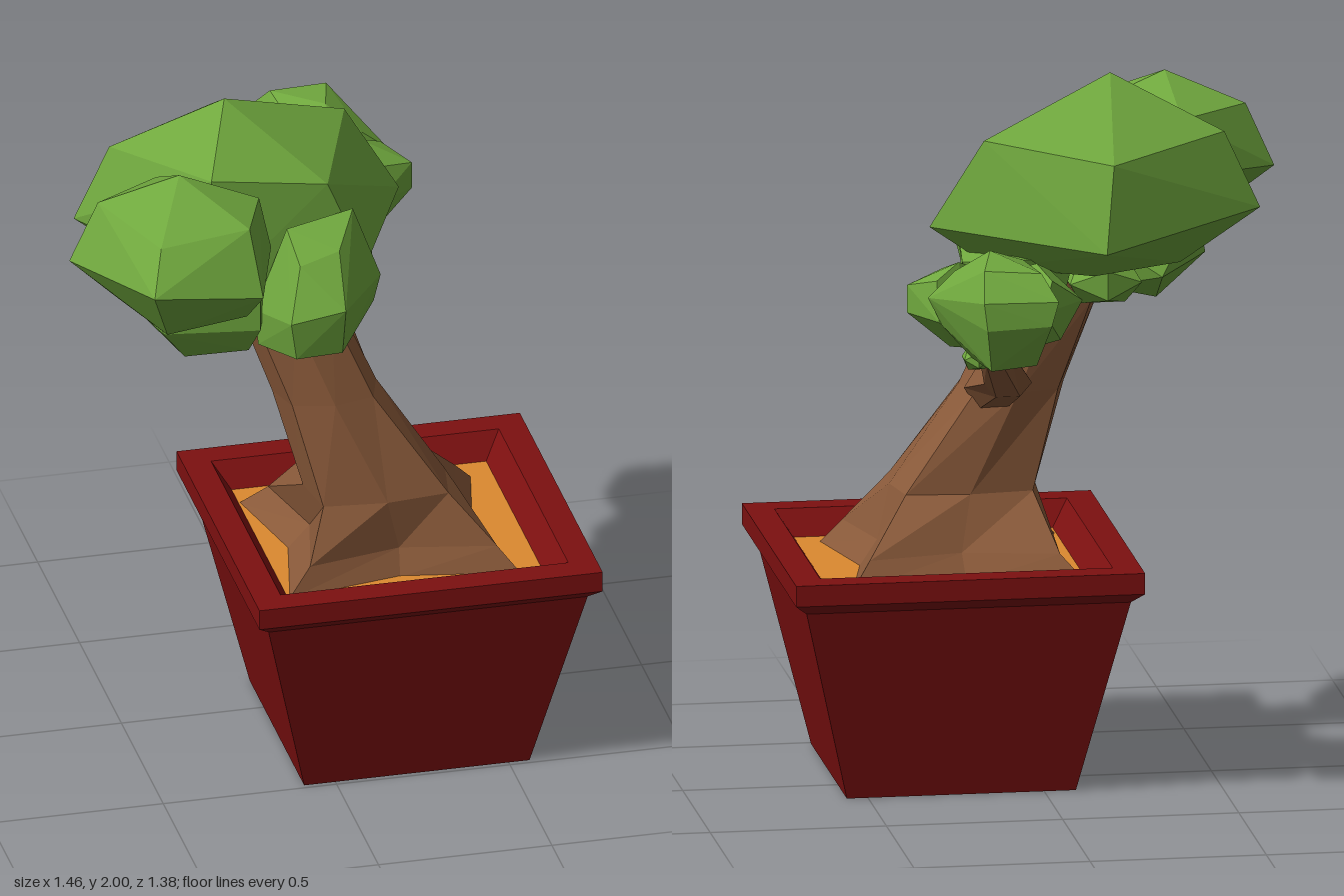
import * as THREE from 'three';
import { ConvexGeometry } from 'three/addons/geometries/ConvexGeometry.js';

const mat = (color, side = THREE.FrontSide) => new THREE.MeshStandardMaterial({ color, flatShading: true, side });
const V = (x, y, z) => new THREE.Vector3(x, y, z);

// Skin a list of equal-length rings; the ends are closed with fans.
function loft(rings) {
  const n = rings[0].length, pos = [], idx = [];
  rings.forEach((r) => r.forEach((p) => pos.push(p.x, p.y, p.z)));
  for (let k = 0; k < rings.length - 1; k++) {
    for (let i = 0; i < n; i++) {
      const a = k * n + i, b = k * n + (i + 1) % n;
      idx.push(a, a + n, b, b, a + n, b + n);
    }
  }
  const last = (rings.length - 1) * n;
  for (let i = 1; i < n - 1; i++) idx.push(0, i, i + 1, last, last + i + 1, last + i);
  const g = new THREE.BufferGeometry();
  g.setAttribute('position', new THREE.Float32BufferAttribute(pos, 3));
  g.setIndex(idx);
  g.computeVertexNormals();
  return g;
}

// Eight-point level ring whose corners and mid-sides have their own reach.
function trunkRing([y, cx, cz, hx, hz, corner, mid]) {
  const ring = [];
  for (let i = 0; i < 8; i++) {
    const a = i * Math.PI / 4, s = i % 2 ? corner : mid;
    ring.push(V(cx + Math.round(Math.cos(a)) * hx * s, y, cz + Math.round(Math.sin(a)) * hz * s));
  }
  return ring;
}

// Six-point upright ring for the branch, which runs towards -z.
function branchRing([x, y, z, rx, ry]) {
  const ring = [];
  for (let i = 0; i < 6; i++) {
    const a = i * Math.PI / 3;
    ring.push(V(x + Math.cos(a) * rx, y + Math.sin(a) * ry, z));
  }
  return ring;
}

export function createModel() {
  const group = new THREE.Group();
  const red = mat(0x7d1010, THREE.DoubleSide), soilMat = mat(0xdc8a30, THREE.DoubleSide);
  const bark = mat(0x8a5a3a), leaf = mat(0x70a83e);
  const add = (name, geometry, material) => {
    const m = new THREE.Mesh(geometry, material);
    m.name = name;
    group.add(m);
    return m;
  };
  const potX = 0.235, potZ = 0.16;

  // Square tapered pot, open below, with a stepped rim and sloping inner lip
  const profile = [[0.325, 0], [0.46, 0.57], [0.495, 0.6], [0.495, 0.66], [0.415, 0.66], [0.365, 0.585]]
    .map(([r, y]) => new THREE.Vector2(r * Math.SQRT2, y));
  add('pot', new THREE.LatheGeometry(profile, 4, Math.PI / 4), red).position.set(potX, 0, potZ);

  // Soil
  const soil = add('soil', new THREE.PlaneGeometry(0.735, 0.735), soilMat);
  soil.rotation.x = -Math.PI / 2;
  soil.position.set(potX, 0.588, potZ);

  // Leaning trunk flaring into four corner roots
  add('trunk', loft([
    [0.585, 0.205, 0.17, 0.335, 0.30, 1, 0.8],
    [0.66, 0.21, 0.18, 0.27, 0.25, 1, 0.78],
    [0.81, 0.175, 0.22, 0.205, 0.165, 0.88, 1],
    [1.1, 0.04, 0.185, 0.15, 0.135, 0.78, 1],
    [1.35, -0.06, 0.155, 0.14, 0.105, 0.78, 1],
    [1.55, -0.13, 0.15, 0.12, 0.09, 0.75, 1],
  ].map(trunkRing)), bark);

  // Side branch reaching backwards, thick where it leaves the trunk
  add('branch', loft([
    [0.105, 1.105, 0.11, 0.08, 0.075],
    [0.105, 1.185, -0.18, 0.068, 0.045],
    [0.17, 1.32, -0.35, 0.045, 0.045],
    [0.19, 1.44, -0.45, 0.03, 0.03],
  ].map(branchRing)), bark);

  // Large faceted leaf clumps
  const clumps = {
    crownLeaves: [
      [-0.23, 2, 0.11],
      [-0.19, 1.81, -0.22], [0.15, 1.85, -0.03], [0.02, 1.8, 0.31], [-0.32, 1.86, 0.33], [-0.54, 1.84, 0.02],
      [-0.16, 1.57, -0.285], [0.3, 1.6, 0], [0.13, 1.54, 0.32], [-0.3, 1.54, 0.37], [-0.64, 1.62, 0.01],
      [-0.15, 1.47, -0.12], [0.12, 1.47, 0.03], [0.02, 1.43, 0.25], [-0.3, 1.43, 0.25], [-0.42, 1.46, 0.05],
    ],
    leftLeaves: [
      [-0.43, 1.93, 0.4],
      [-0.65, 1.84, 0.34], [-0.45, 1.83, 0.21], [-0.2, 1.83, 0.4], [-0.27, 1.83, 0.58], [-0.53, 1.81, 0.6],
      [-0.73, 1.66, 0.33], [-0.45, 1.67, 0.19], [-0.16, 1.66, 0.38], [-0.25, 1.65, 0.66], [-0.57, 1.7, 0.69],
      [-0.6, 1.55, 0.38], [-0.24, 1.55, 0.38], [-0.27, 1.54, 0.55], [-0.5, 1.51, 0.55],
    ],
    frontLeaves: [
      [-0.11, 1.7, 0.36], [0.09, 1.72, 0.32], [0.02, 1.66, 0.45], [-0.1, 1.64, 0.48],
      [0.18, 1.48, 0.28], [0.01, 1.53, 0.57], [-0.14, 1.49, 0.54], [-0.2, 1.45, 0.35],
      [0.16, 1.4, 0.28], [0.01, 1.38, 0.53], [-0.12, 1.37, 0.52], [-0.19, 1.34, 0.35],
      [-0.03, 1.31, 0.35], [0.1, 1.36, 0.16], [-0.12, 1.38, 0.15], [0.14, 1.52, 0.13],
    ],
    lowerLeftLeaves: [
      [-0.49, 1.58, 0.2], [-0.5, 1.52, 0.36], [-0.2, 1.55, 0.42], [-0.15, 1.55, 0.2],
      [-0.52, 1.44, 0.24], [-0.47, 1.42, 0.38], [-0.2, 1.42, 0.42], [-0.14, 1.45, 0.25],
      [-0.39, 1.3, 0.3], [-0.22, 1.33, 0.36], [-0.22, 1.36, 0.2], [-0.38, 1.4, 0.12],
    ],
    backLeaves: [
      [0.2, 1.64, -0.46], [0.1, 1.6, -0.42], [0.08, 1.61, -0.63], [0.24, 1.62, -0.62], [0.29, 1.57, -0.4],
      [0.04, 1.54, -0.69], [0.25, 1.54, -0.68], [0.37, 1.5, -0.42], [0.21, 1.57, -0.32], [0.04, 1.5, -0.45],
      [0.06, 1.47, -0.69], [0.24, 1.46, -0.68], [0.33, 1.42, -0.43], [0.2, 1.44, -0.34],
      [0.09, 1.34, -0.61], [0.22, 1.33, -0.62], [0.25, 1.33, -0.45], [0.1, 1.36, -0.44],
    ],
    backLeftLeaves: [
      [0.27, 1.58, -0.34], [0.34, 1.54, -0.39], [0.3, 1.54, -0.24], [0.17, 1.53, -0.27],
      [0.41, 1.51, -0.3], [0.41, 1.43, -0.3], [0.28, 1.46, -0.175], [0.14, 1.43, -0.27], [0.34, 1.43, -0.43],
      [0.29, 1.33, -0.31], [0.2, 1.34, -0.27], [0.24, 1.35, -0.42], [0.3, 1.38, -0.21],
    ],
    backRightLeaves: [
      [0.05, 1.57, -0.35], [0.13, 1.53, -0.27], [0.0, 1.53, -0.27], [0.02, 1.54, -0.44],
      [-0.08, 1.46, -0.35], [0.0, 1.44, -0.2], [0.13, 1.43, -0.2], [0.17, 1.45, -0.33], [0.05, 1.46, -0.49],
      [0.0, 1.34, -0.27], [0.1, 1.33, -0.27], [0.1, 1.33, -0.39], [-0.01, 1.36, -0.4],
    ],
    underLeaves: [
      [0.2, 1.54, 0.1], [0.21, 1.5, -0.02], [0.05, 1.52, -0.1], [-0.1, 1.5, -0.05],
      [0.19, 1.43, 0.13], [0.18, 1.42, 0], [0.05, 1.42, -0.09], [-0.08, 1.42, -0.05],
      [0.12, 1.33, 0.1], [0.07, 1.32, 0.03], [0, 1.36, 0.02], [0.08, 1.4, 0.2], [0.1, 1.54, 0.2],
    ],
  };
  for (const [name, pts] of Object.entries(clumps)) {
    add(name, new ConvexGeometry(pts.map((p) => V(...p))), leaf);
  }

  // Small tufts filling the gaps: position, then radii
  [
    [-0.2, 1.42, 0.05, 0.12, 0.08, 0.11],
    [0.12, 1.54, -0.34, 0.055, 0.05, 0.05],
    [0.23, 1.32, -0.41, 0.045, 0.04, 0.05],
  ].forEach(([x, y, z, rx, ry, rz]) => {
    const tuft = add('leafTuft', new THREE.IcosahedronGeometry(1, 0), leaf);
    tuft.position.set(x, y, z);
    tuft.scale.set(rx, ry, rz);
  });

  return group;
}
